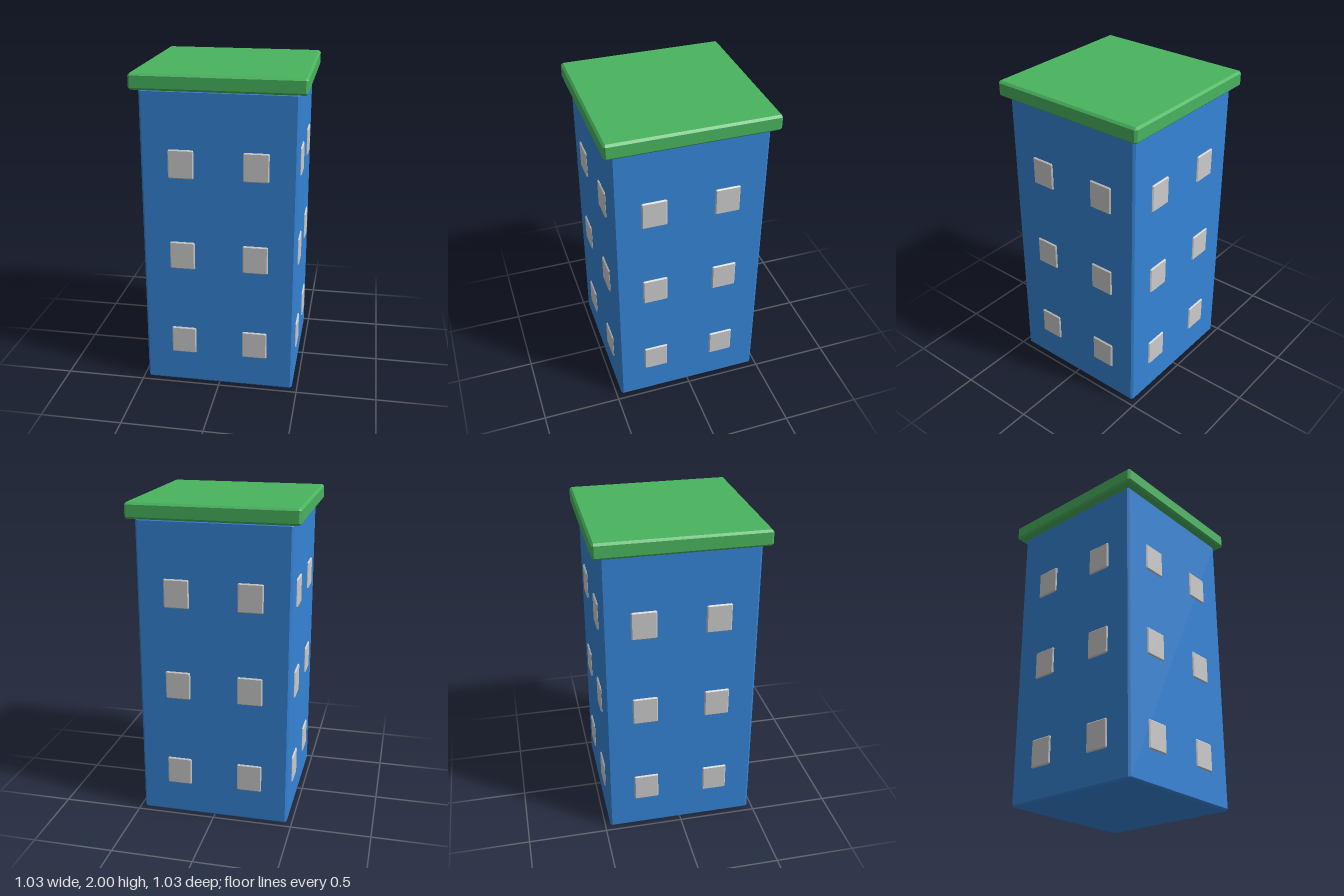
import * as THREE from 'three';
import { ConvexGeometry } from 'three/addons/geometries/ConvexGeometry.js';

// Box with every edge cut by a flat chamfer c
function chamferBox(w, h, d, c) {
  const points = [];
  for (const sx of [-1, 1]) for (const sy of [-1, 1]) for (const sz of [-1, 1]) {
    const x = w / 2, y = h / 2, z = d / 2;
    points.push(
      new THREE.Vector3(sx * x, sy * (y - c), sz * (z - c)),
      new THREE.Vector3(sx * (x - c), sy * y, sz * (z - c)),
      new THREE.Vector3(sx * (x - c), sy * (y - c), sz * z),
    );
  }
  return new ConvexGeometry(points);
}

export function createModel() {
  const model = new THREE.Group();
  model.name = 'towerBlock';
  const paint = (color) => new THREE.MeshStandardMaterial({ color, flatShading: true });
  const blue = paint(0x3584d6), green = paint(0x49b45f), grey = paint(0xcccccc);

  const add = (parent, name, geometry, material, x, y, z) => {
    const mesh = new THREE.Mesh(geometry, material);
    mesh.name = name;
    mesh.position.set(x, y, z);
    parent.add(mesh);
  };

  // Walls and overhanging roof slab
  add(model, 'walls', chamferBox(0.936, 1.903, 0.936, 0.012), blue, 0, 0.9515, 0);
  add(model, 'roof', chamferBox(1.03, 0.097, 1.03, 0.013), green, 0, 1.9515, 0);

  // Four sides, each with three floors of two windows
  const pane = chamferBox(0.156, 0.178, 0.04, 0.007);
  for (let side = 0; side < 4; side++) {
    const windows = new THREE.Group();
    windows.name = ['front', 'left', 'back', 'right'][side] + 'Windows';
    windows.rotation.y = side * Math.PI / 2;
    for (const y of [0.295, 0.879, 1.462])
      for (const x of [-0.225, 0.225]) add(windows, 'window', pane, grey, x, y, 0.457);
    model.add(windows);
  }
  return model;
}
